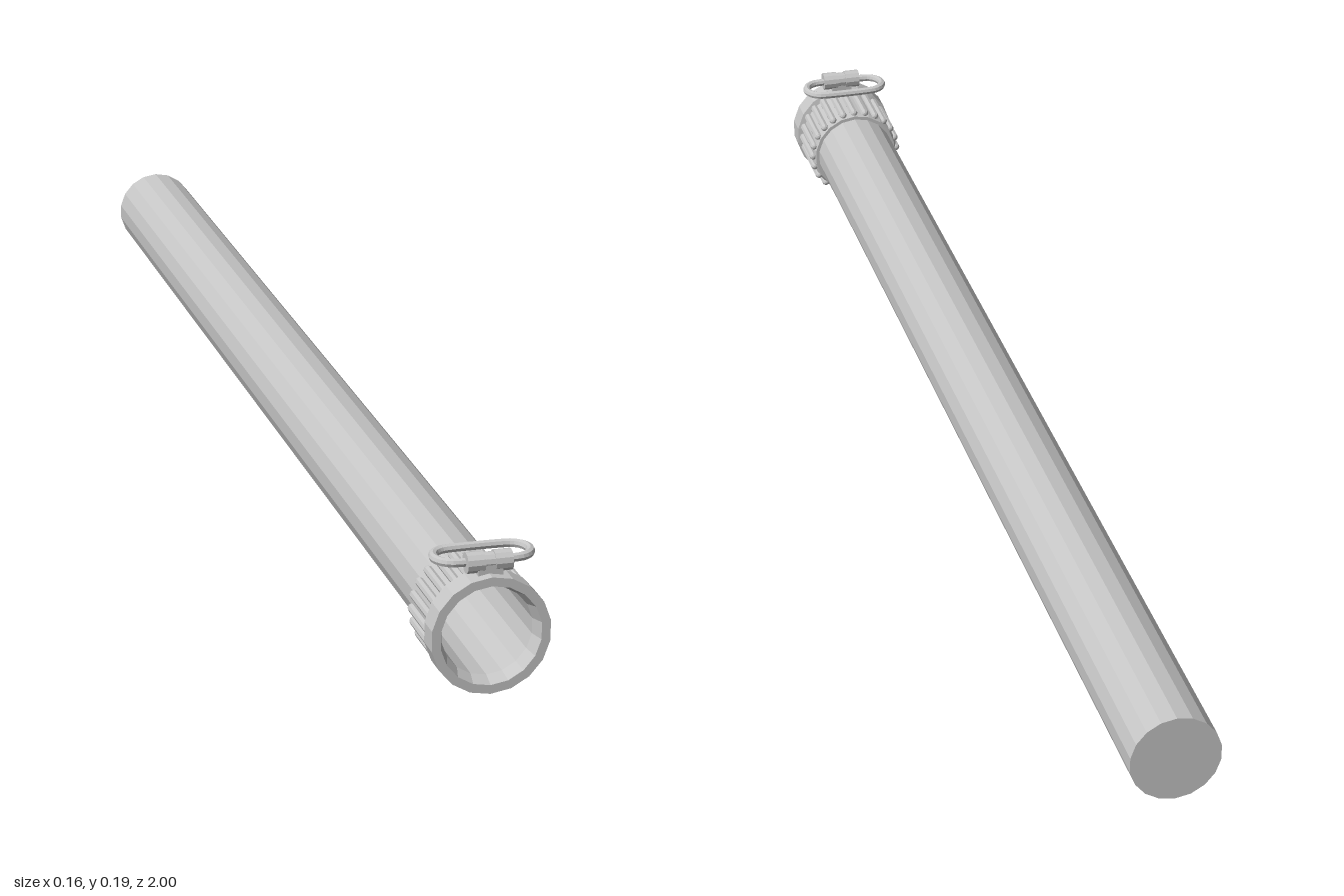
import * as THREE from 'three';

const AXIS_Y = 0.083;
const HINGE_Y = 0.1785;

export function createModel() {
  const group = new THREE.Group();
  const steel = new THREE.MeshStandardMaterial({ color: 0xc6c6c6, flatShading: true });
  steel.name = 'light grey steel';

  const add = (name, geometry, x = 0, y = 0, z = 0) => {
    const mesh = new THREE.Mesh(geometry, steel);
    mesh.name = name;
    mesh.position.set(x, y, z);
    group.add(mesh);
  };

  // Turned parts: [radius, z] profiles spun about the long axis
  const turned = (name, points) => {
    const g = new THREE.LatheGeometry(points.map(([r, z]) => new THREE.Vector2(r, z)), 18);
    g.rotateX(Math.PI / 2);
    add(name, g, 0, AXIS_Y, 0);
  };

  // Long tube with closed back and hollow inside
  turned('tube', [[0, -1], [0.0645, -1], [0.0645, 0.88]]);
  turned('bore', [[0.063, 0.98], [0.063, -0.995], [0, -0.995]]);

  // Collar with a plain front band and bevelled mouth
  turned('collar', [
    [0.064, 0.875], [0.07, 0.875], [0.0735, 0.88], [0.0735, 0.963],
    [0.0825, 0.965], [0.0825, 1], [0.07, 1], [0.063, 0.98],
  ]);

  // Rounded grip ribs around the collar
  const ribs = 24;
  const ribGeometry = new THREE.CapsuleGeometry(0.0065, 0.077, 3, 8);
  ribGeometry.rotateX(Math.PI / 2);
  for (let i = 0; i < ribs; i++) {
    const a = (i / ribs) * Math.PI * 2;
    add('gripRib', ribGeometry, Math.sin(a) * 0.0735, AXIS_Y + Math.cos(a) * 0.0735, 0.921);
  }

  // Hinge on top: foot, two knuckles and a narrower neck
  add('hingeFoot', new THREE.BoxGeometry(0.034, 0.022, 0.022), 0.002, 0.166, 0.975);
  const knuckle = (name, radius, length, x) => {
    const g = new THREE.CylinderGeometry(radius, radius, length, 12);
    g.rotateZ(Math.PI / 2);
    add(name, g, x, HINGE_Y, 0.974);
  };
  for (const side of [-1, 1]) knuckle('hingeKnuckle', 0.0145, 0.024, 0.002 + side * 0.019);
  knuckle('hingeNeck', 0.0125, 0.016, 0.002);

  // Oblong wire loop lying flat behind the hinge: two half circles joined by straights
  const half = 0.04, r = 0.026;
  const points = [];
  for (const side of [1, -1]) {
    for (let i = 0; i <= 8; i++) {
      const a = -Math.PI / 2 + (i / 8) * Math.PI;
      points.push(new THREE.Vector3(side * (half + r * Math.cos(a)), 0, side * r * Math.sin(a)));
    }
  }
  const loopCurve = new THREE.CatmullRomCurve3(points, true);
  add('slingLoop', new THREE.TubeGeometry(loopCurve, 48, 0.0062, 8, true), 0.002, HINGE_Y, 0.945);

  return group;
}
